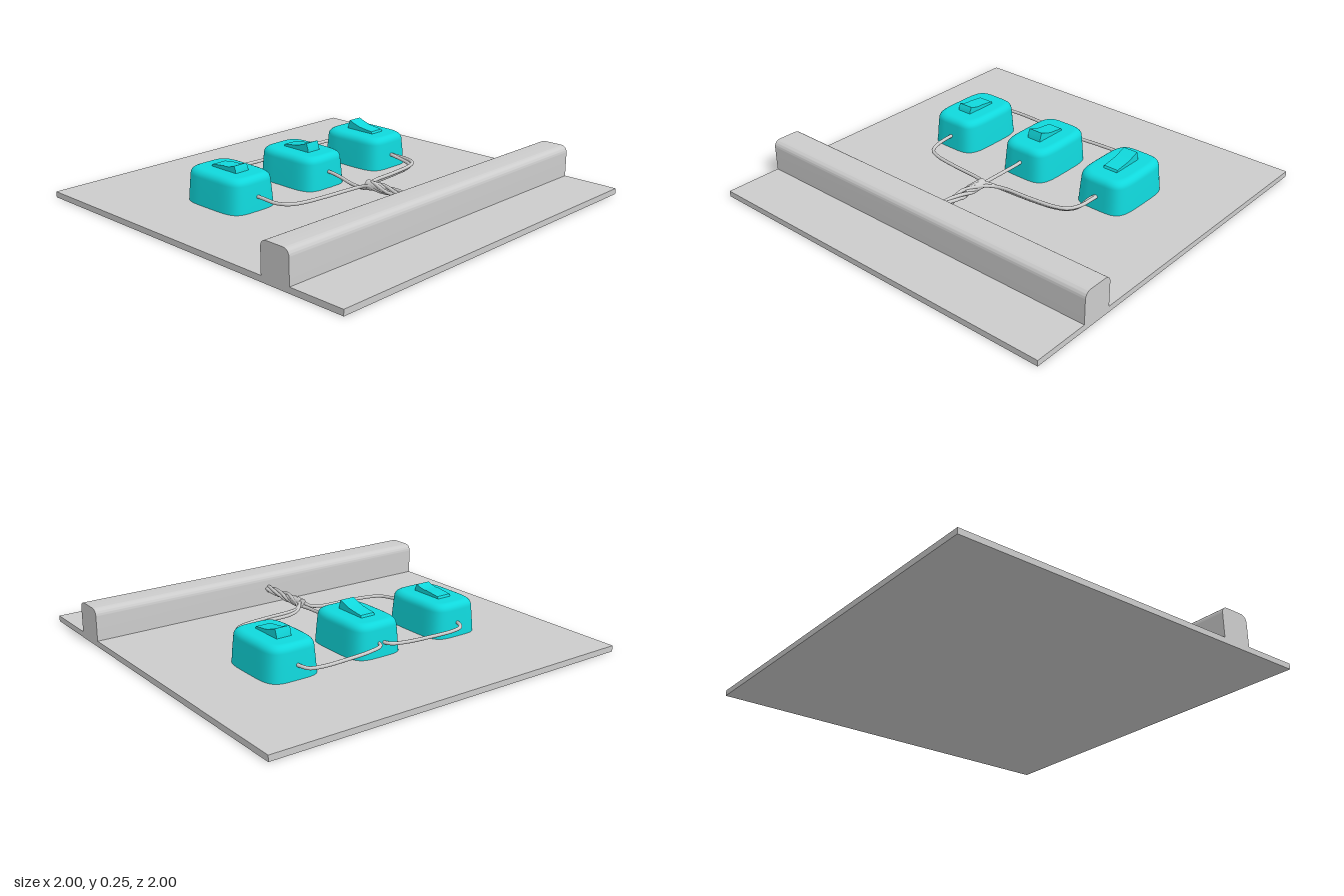
import * as THREE from 'three';
import { toCreasedNormals } from 'three/addons/utils/BufferGeometryUtils.js';

const grey = new THREE.MeshStandardMaterial({ color: 0xcccccc });
const teal = new THREE.MeshStandardMaterial({ color: 0x10d8dc });

function add(parent, name, geometry, material) {
  const mesh = new THREE.Mesh(geometry, material);
  mesh.name = name;
  parent.add(mesh);
  return mesh;
}

// Extrude an outline drawn in (z, y) along x, centred on x = 0
function extrudeAlongX(shape, width) {
  const g = new THREE.ExtrudeGeometry(shape, { depth: width, bevelEnabled: false, curveSegments: 10 });
  g.translate(0, 0, -width / 2);
  g.rotateY(-Math.PI / 2); // shape x -> z, depth -> -x
  return toCreasedNormals(g, 0.6);
}

// Tapered housing with bulging sides and a softly rounded top
function housingGeometry() {
  const sides = 64, n = 4.4;
  const rings = [[0.145, 0.2, 0.03], [0.14, 0.196, 0.1], [0.134, 0.191, 0.165]];
  for (let i = 1; i <= 6; i++) {
    const a = (i / 6) * Math.PI / 2, inset = 0.036 * (1 - Math.cos(a));
    rings.push([0.134 - inset, 0.191 - inset, 0.165 + 0.036 * Math.sin(a)]);
  }
  rings.push([0, 0, 0.201]);
  const pos = [], index = [];
  const power = (v) => Math.sign(v) * Math.pow(Math.abs(v), 2 / n);
  for (const [rx, rz, y] of rings) {
    for (let i = 0; i < sides; i++) {
      const a = (i / sides) * Math.PI * 2;
      pos.push(rx * power(Math.cos(a)), y, rz * power(Math.sin(a)));
    }
  }
  for (let r = 0; r < rings.length - 1; r++) {
    for (let i = 0; i < sides; i++) {
      const j = (i + 1) % sides, a = r * sides + i, b = r * sides + j;
      index.push(a, a + sides, b);
      if (r < rings.length - 2) index.push(b, a + sides, b + sides);
    }
  }
  const g = new THREE.BufferGeometry();
  g.setAttribute('position', new THREE.Float32BufferAttribute(pos, 3));
  g.setIndex(index);
  g.computeVertexNormals();
  return g;
}

// Rocker with its front end raised
function rockerGeometry(high) {
  const s = new THREE.Shape();
  s.moveTo(-0.09, 0.19);
  s.lineTo(0.09, 0.19);
  s.lineTo(0.087, 0.215);
  s.lineTo(0.076, high);
  s.quadraticCurveTo(0.03, high - 0.018, 0, 0.222);
  s.lineTo(-0.083, 0.212);
  s.lineTo(-0.09, 0.2);
  return extrudeAlongX(s, 0.08);
}

function wire(parent, name, points, radius = 0.009) {
  const curve = new THREE.CatmullRomCurve3(points.map((p) => new THREE.Vector3(...p)));
  add(parent, name, new THREE.TubeGeometry(curve, 90, radius, 10), grey);
}

export function createModel() {
  const model = new THREE.Group();
  model.name = 'switchBoard';

  const board = add(model, 'board', new THREE.BoxGeometry(2, 0.03, 2), grey);
  board.position.y = 0.015;

  // Rail with rounded upper edges
  const r = 0.035, z0 = 0.53, z1 = 0.7, top = 0.193;
  const rail = new THREE.Shape();
  rail.moveTo(z0, 0.02);
  rail.lineTo(z1, 0.02);
  rail.lineTo(z1, top - r);
  rail.absarc(z1 - r, top - r, r, 0, Math.PI / 2);
  rail.absarc(z0 + r, top - r, r, Math.PI / 2, Math.PI);
  rail.lineTo(z0, 0.02);
  add(model, 'rail', extrudeAlongX(rail, 2), grey);

  // Three switches, the last one flipped the other way
  const housing = housingGeometry();
  [[-0.485, 0.236, false], [0, 0.247, false], [0.482, 0.247, true]].forEach(([x, high, flipped]) => {
    const unit = new THREE.Group();
    unit.name = 'switchUnit';
    unit.position.set(x, 0, -0.255);
    add(unit, 'housing', housing, teal);
    const rocker = add(unit, 'rocker', rockerGeometry(high), teal);
    if (flipped) rocker.rotation.y = Math.PI;
    model.add(unit);
  });

  // Wires linking the backs of neighbouring switches
  for (const s of [-1, 1]) {
    wire(model, 'linkWire', [
      [s * 0.482, 0.1, -0.42], [s * 0.478, 0.1, -0.465], [s * 0.455, 0.095, -0.5], [s * 0.39, 0.092, -0.513],
      [s * 0.25, 0.092, -0.51], [s * 0.1, 0.094, -0.497], [s * 0.03, 0.098, -0.478], [s * 0.005, 0.1, -0.42],
    ]);
  }

  // Front wires, each ending as one strand of the twisted bundle
  const bundle = (phase) => Array.from({ length: 11 }, (_, i) => {
    const a = phase + i * 0.5, spread = i < 5 ? 0.017 : 0.012;
    return [-0.006 + spread * Math.cos(a), 0.112 + spread * Math.sin(a), 0.24 + i * 0.03];
  });
  const side = (s, dx, dz, y) => [
    [s * 0.482, 0.1, -0.08], [s * (0.482 - dx), 0.1, -0.03], [s * (0.475 - dx), y, 0.06], [s * (0.445 - dx), y, 0.115 + dz],
    [s * (0.385 - dx), y, 0.142 + dz], [s * 0.25, y, 0.16 + dz], [s * 0.1, y, 0.17 + dz], [s * 0.04, 0.1, 0.19 + dz],
  ];
  wire(model, 'leftInWire', [...side(1, 0, 0.002, 0.1), ...bundle(0)]);
  wire(model, 'leftOutWire', [...side(1, 0.012, -0.006, 0.088), ...bundle(Math.PI / 2)]);
  wire(model, 'rightWire', [...side(-1, 0, 0, 0.094), ...bundle(Math.PI)]);
  wire(model, 'middleWire', [
    [0, 0.115, -0.08], [0, 0.112, -0.03], [-0.008, 0.105, 0.04], [-0.02, 0.095, 0.12], [-0.022, 0.092, 0.19],
    ...bundle(Math.PI * 1.5),
  ]);

  // Sleeve gathering the strands
  const sleeve = add(model, 'bundleSleeve', new THREE.CylinderGeometry(0.019, 0.025, 0.13, 16), grey);
  sleeve.rotation.x = Math.PI / 2;
  sleeve.position.set(-0.006, 0.112, 0.28);

  return model;
}
